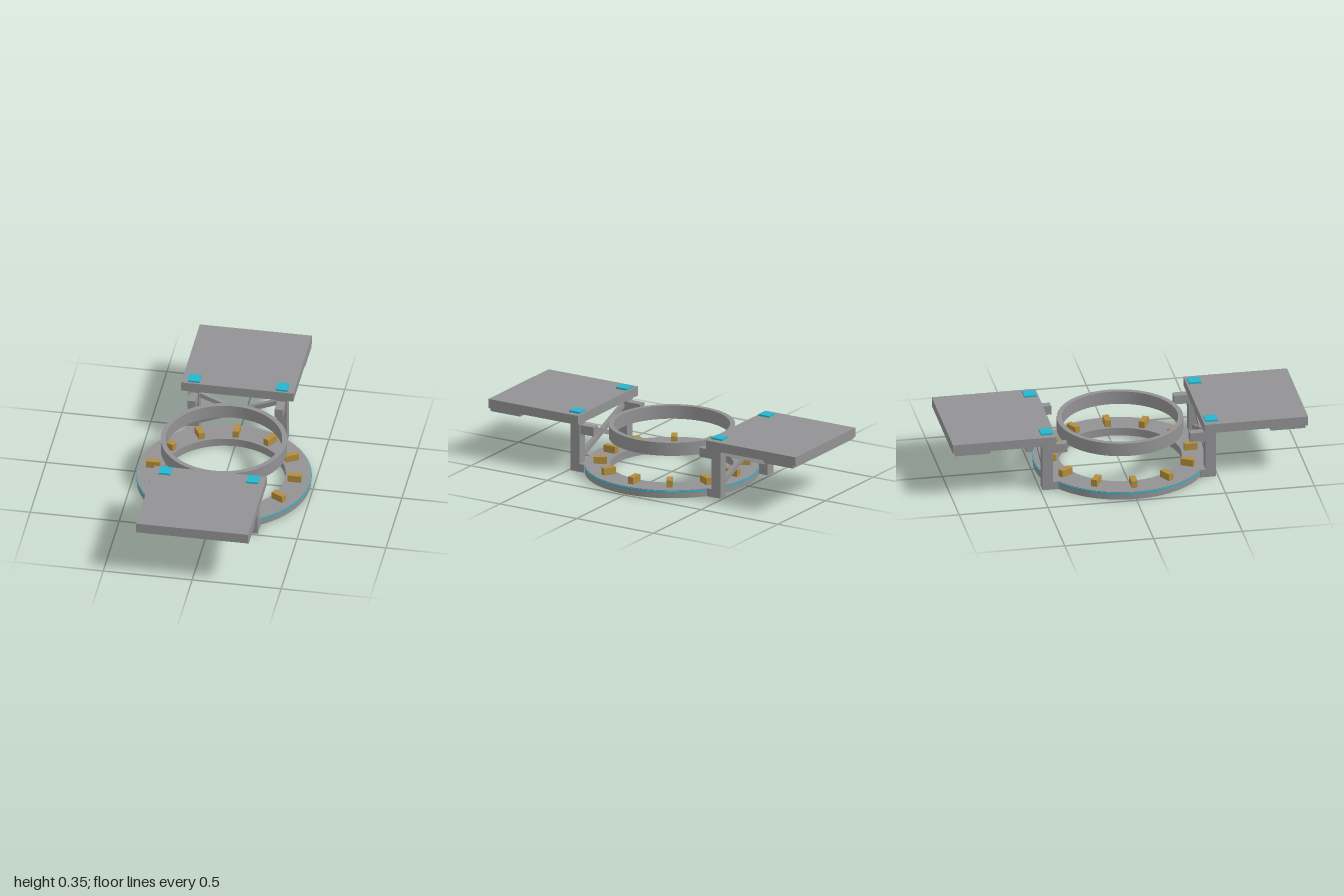
import * as THREE from 'three';
import { toCreasedNormals } from 'three/addons/utils/BufferGeometryUtils.js';

const material = (name, color) => {
  const m = new THREE.MeshStandardMaterial({ color });
  m.name = name;
  return m;
};

export function createModel() {
  const model = new THREE.Group();
  model.name = 'ringPlatform';
  const gray = material('steel gray', 0x929294);
  const cyan = material('cyan light', 0x25b5cd);
  const amber = material('amber', 0xb28d3f);

  const add = (parent, name, geometry, mat) => {
    const mesh = new THREE.Mesh(geometry, mat);
    mesh.name = name;
    parent.add(mesh);
    return mesh;
  };

  // Box given by its minimum and maximum on each axis
  const box = (parent, name, [x0, x1], [y0, y1], [z0, z1], mat) => {
    const mesh = add(parent, name, new THREE.BoxGeometry(x1 - x0, y1 - y0, z1 - z0), mat);
    mesh.position.set((x0 + x1) / 2, (y0 + y1) / 2, (z0 + z1) / 2);
    return mesh;
  };

  // Flat ring with a square section, standing between y0 and y1
  const ring = (name, outer, inner, y0, y1, mat) => {
    const shape = new THREE.Shape().absarc(0, 0, outer, 0, Math.PI * 2);
    shape.holes.push(new THREE.Path().absarc(0, 0, inner, 0, Math.PI * 2, true));
    const geometry = new THREE.ExtrudeGeometry(shape, { depth: y1 - y0, bevelEnabled: false, curveSegments: 48 });
    geometry.rotateX(-Math.PI / 2);
    geometry.translate(0, y0, 0);
    return add(model, name, toCreasedNormals(geometry, 0.5), mat);
  };

  ring('baseRing', 0.483, 0.342, 0, 0.046, gray);
  ring('lightStripe', 0.486, 0.48, 0.033, 0.041, cyan);
  ring('upperRing', 0.35, 0.322, 0.203, 0.279, gray);

  // Twelve blocks around the base ring
  for (let i = 0; i < 12; i++) {
    const a = (i * Math.PI) / 6;
    const block = add(model, 'ringBlock', new THREE.BoxGeometry(0.075, 0.04, 0.034), amber);
    block.position.set(Math.cos(a) * 0.397, 0.066, Math.sin(a) * 0.397);
    block.rotation.y = -a;
  }

  // One deck with its supports at each end
  const platform = (name) => {
    const group = new THREE.Group();
    group.name = name;
    box(group, 'deck', [-0.315, 0.315], [0.285, 0.338], [0.417, 1], gray);
    box(group, 'deckLip', [-0.315, 0.315], [0.27, 0.285], [0.79, 0.985], gray);
    for (const s of [-1, 1]) {
      const span = (a, b) => (s > 0 ? [a, b] : [-b, -a]);
      box(group, 'leg', span(0.218, 0.277), [0, 0.285], [0.43, 0.488], gray);
      box(group, 'footBlock', span(0.218, 0.277), [0, 0.046], [0.4, 0.43], gray);
      box(group, 'ringBracket', span(0.222, 0.268), [0.218, 0.27], [0.345, 0.43], gray);
      box(group, 'deckLight', span(0.214, 0.28), [0.338, 0.348], [0.429, 0.498], cyan);
      // Crossed brace
      const brace = add(group, 'crossBrace', new THREE.BoxGeometry(0.49, 0.026, 0.026), gray);
      brace.position.set(0, 0.16, 0.459);
      brace.rotation.z = s * Math.atan2(0.172, 0.436);
    }
    model.add(group);
    return group;
  };
  platform('frontPlatform');
  platform('backPlatform').rotation.y = Math.PI;

  return model;
}
